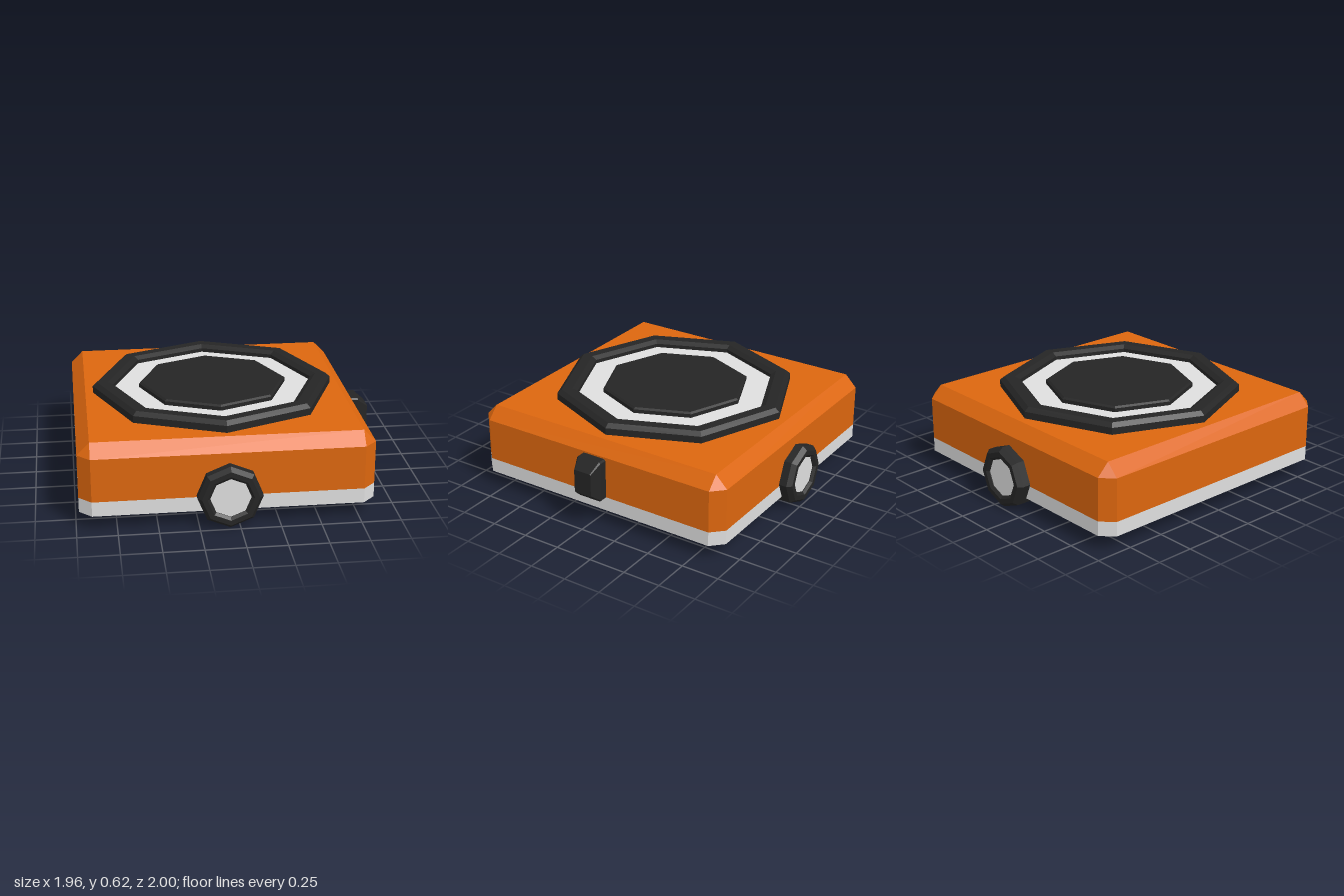
import * as THREE from 'three';

const orange = new THREE.MeshStandardMaterial({ color: 0xdc660e });
orange.name = 'orange';
const lightGrey = new THREE.MeshStandardMaterial({ color: 0xdedede });
lightGrey.name = 'light grey';
const black = new THREE.MeshStandardMaterial({ color: 0x252525 });
black.name = 'black';

// Rectangle outline at height y with half sizes w and d and corners cut by c
function ring(w, d, c, y) {
  return [
    [-w + c, d], [w - c, d], [w, d - c], [w, -d + c],
    [w - c, -d], [-w + c, -d], [-w, -d + c], [-w, d - c],
  ].map(([x, z]) => new THREE.Vector3(x, y, z));
}

// Faceted skin through a list of outlines
function loft(rings) {
  const points = [];
  const triangle = (a, b, c) => {
    if (new THREE.Triangle(a, b, c).getArea() > 1e-8) points.push(a, b, c);
  };
  for (let k = 0; k < rings.length - 1; k++) {
    for (let i = 0; i < 8; i++) {
      const j = (i + 1) % 8;
      const [lo, hi] = [rings[k], rings[k + 1]];
      triangle(lo[i], lo[j], hi[j]);
      triangle(lo[i], hi[j], hi[i]);
    }
  }
  const geometry = new THREE.BufferGeometry().setFromPoints(points);
  geometry.computeVertexNormals();
  return geometry;
}

// Eight-sided turned part with flat facets
function octagon(profile) {
  const points = profile.map(([r, y]) => new THREE.Vector2(r, y));
  const geometry = new THREE.LatheGeometry(points, 8).toNonIndexed();
  geometry.computeVertexNormals();
  return geometry;
}

function add(parent, name, geometry, material) {
  const mesh = new THREE.Mesh(geometry, material);
  mesh.name = name;
  parent.add(mesh);
  return mesh;
}

export function createModel() {
  const model = new THREE.Group();
  model.name = 'device';

  // Everything but the side button is centred on this axis
  const body = new THREE.Group();
  body.name = 'body';
  body.position.x = -0.062;
  model.add(body);

  const H = 0.918, CUT = 0.078, IN = 0.845;

  // Chamfered upper case, closed underneath
  add(body, 'upperCase', loft([
    ring(0, 0, 0, 0.19), ring(H, H, CUT, 0.19), ring(H, H, CUT, 0.47),
    ring(H - CUT, H - CUT, 0, 0.55), ring(0, 0, 0, 0.55),
  ]), orange);

  // Hollow lower band
  add(body, 'lowerBand', loft([
    ring(IN, IN, 0, 0.19), ring(IN, IN, 0, 0.095),
    ring(H, H, CUT, 0.095), ring(H, H, CUT, 0.19),
  ]), lightGrey);

  // Dial on top: rim, recessed plate and raised centre
  add(body, 'dialRim', octagon([
    [0.79, 0.54], [0.79, 0.595], [0.76, 0.62], [0.69, 0.62], [0.655, 0.60], [0.655, 0.54],
  ]), black);
  add(body, 'dialPlate', octagon([[0.67, 0.575], [0, 0.575]]), lightGrey);
  add(body, 'dialCentre', octagon([
    [0.485, 0.57], [0.485, 0.60], [0.47, 0.61], [0, 0.61],
  ]), black);

  // Round feet through the front and back walls
  for (const side of [1, -1]) {
    const foot = new THREE.Group();
    foot.name = side > 0 ? 'frontFoot' : 'backFoot';
    foot.position.y = 0.203;
    foot.rotation.x = side * Math.PI / 2;
    body.add(foot);
    add(foot, 'footBarrel', octagon([
      [0, 0.75], [0.175, 0.75], [0.203, 0.78], [0.203, 0.97], [0.178, 1],
      [0.145, 1], [0.127, 0.985], [0.127, 0.94],
    ]), black);
    add(foot, 'footCap', octagon([[0.135, 0.98], [0, 0.98]]), lightGrey);
  }

  // Tapered button on the left wall
  const button = add(model, 'sideButton', loft([
    ring(0, 0, 0, 0.8), ring(0.139, 0.088, 0.01, 0.8), ring(0.139, 0.088, 0.01, 0.908),
    ring(0.078, 0.062, 0.005, 0.978), ring(0, 0, 0, 0.978),
  ]), black);
  button.rotation.z = -Math.PI / 2;
  button.position.y = 0.32;

  return model;
}
